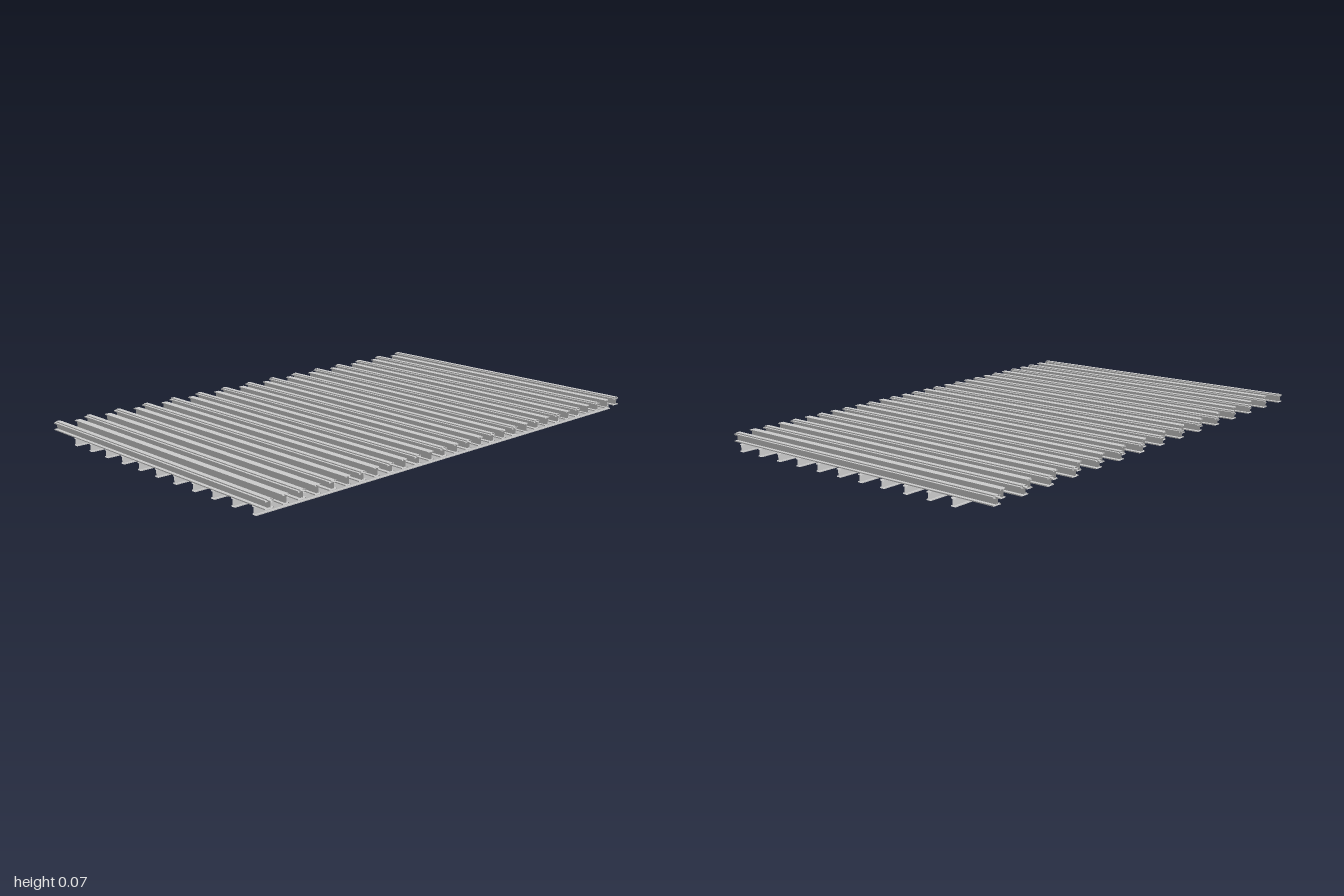
import * as THREE from 'three';

const material = new THREE.MeshStandardMaterial({ color: 0xcccccc, side: THREE.DoubleSide });

// Symmetric closed profile from its right half, listed bottom to top as [halfWidth, y]
function mirrored(half) {
  return [...half, ...half.map(([u, y]) => [-u, y]).reverse()];
}

// Open-ended rolled section: the profile swept along z from z0 to z1
function sweep(profile, z0, z1) {
  const pos = [];
  profile.forEach(([au, ay], i) => {
    const [bu, by] = profile[(i + 1) % profile.length];
    pos.push(au, ay, z0, bu, by, z0, bu, by, z1);
    pos.push(au, ay, z0, bu, by, z1, au, ay, z1);
  });
  const geo = new THREE.BufferGeometry();
  geo.setAttribute('position', new THREE.Float32BufferAttribute(pos, 3));
  geo.computeVertexNormals();
  return geo;
}

// I-section with equal flanges
function iSection(width, y0, y1, flange, web) {
  const w = width / 2, t = web / 2;
  return mirrored([[w, y0], [w, y0 + flange], [t, y0 + flange], [t, y1 - flange], [w, y1 - flange], [w, y1]]);
}

export function createModel() {
  const model = new THREE.Group();
  const add = (name, geo, x, z) => {
    const mesh = new THREE.Mesh(geo, material);
    mesh.name = name;
    mesh.position.set(x, 0, z);
    model.add(mesh);
  };

  // Joists running front to back underneath
  const joist = sweep(iSection(0.02, 0, 0.031, 0.004, 0.005), -1, 1);
  for (let i = 0; i < 11; i++) add('joist', joist, -0.495 + i * 0.11, 0);

  // Long slats: I-section with a narrow raised bead on top
  const longProfile = mirrored([
    [0.018, 0.031], [0.018, 0.035], [0.004, 0.035], [0.004, 0.057],
    [0.018, 0.057], [0.018, 0.062], [0.009, 0.062], [0.009, 0.066],
  ]);
  const longSlat = sweep(longProfile, -0.66, 0.66).rotateY(Math.PI / 2);

  // Short slats: plain I-section, set back on the right side
  const shortSlat = sweep(iSection(0.027, 0.031, 0.065, 0.004, 0.006), -0.625, 0.66).rotateY(Math.PI / 2);

  const pitch = 0.1395, first = -0.972;
  for (let i = 0; i < 15; i++) {
    add('longSlat', longSlat, 0, first + i * pitch);
    if (i < 14) add('shortSlat', shortSlat, 0, first + (i + 0.5) * pitch);
  }
  return model;
}
